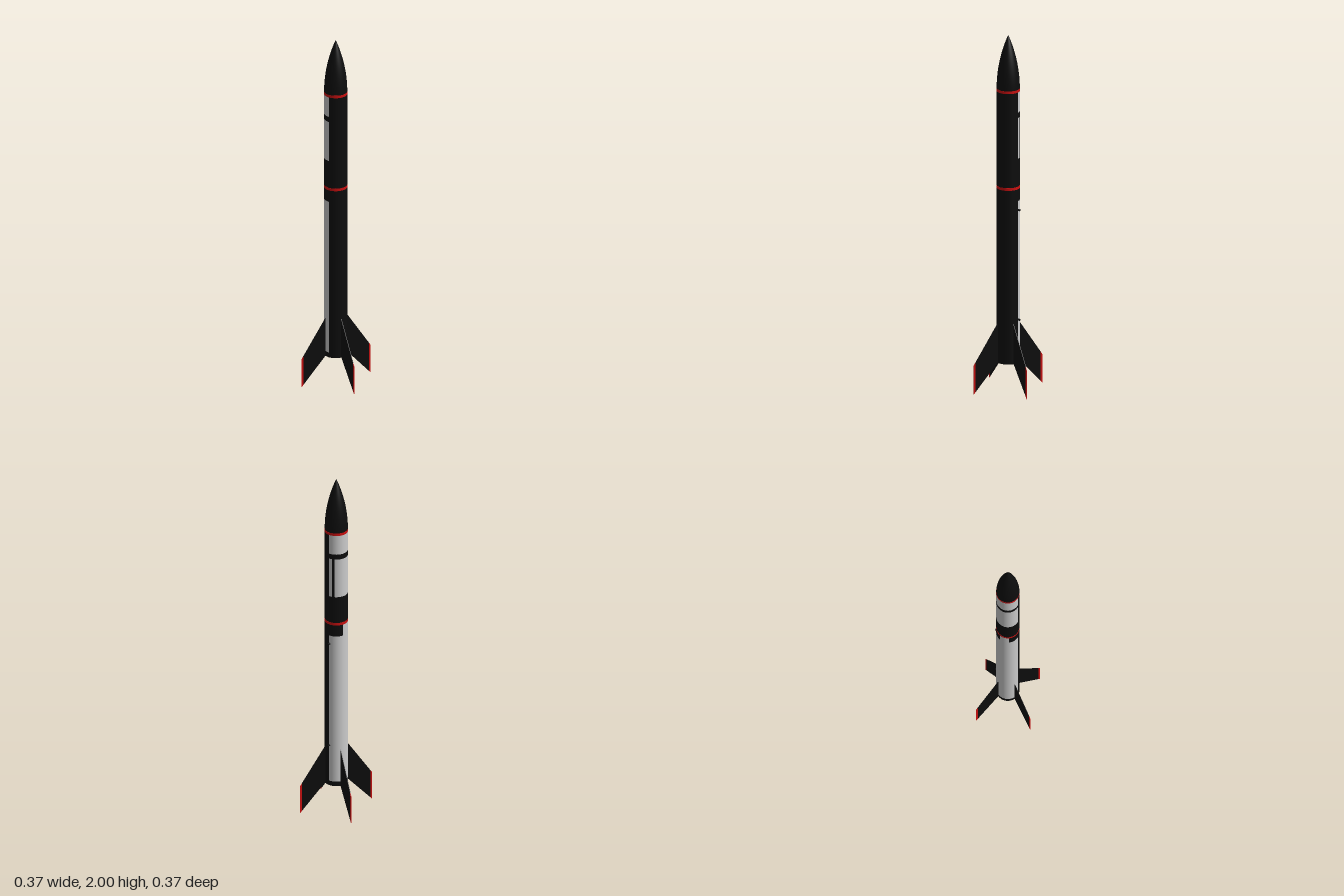
import * as THREE from 'three';

const R = 0.0625, AXIS_X = -0.002, DEG = Math.PI / 180;
const mat = (color) => new THREE.MeshStandardMaterial({ color, side: THREE.DoubleSide });

export function createModel() {
  const root = new THREE.Group();
  root.name = 'rocket';
  const black = mat(0x0d0d0d), white = mat(0xcccccc), red = mat(0xcc1010);

  const add = (parent, name, geometry, material, x = 0, y = 0, z = 0) => {
    const mesh = new THREE.Mesh(geometry, material);
    mesh.name = name;
    mesh.position.set(x, y, z);
    parent.add(mesh);
    return mesh;
  };

  const body = new THREE.Group();
  body.name = 'body';
  body.position.x = AXIS_X;
  root.add(body);

  // Curved skin panel between two heights and two angles (0 = +z, 90 = +x)
  const panel = (name, y0, y1, a0, a1, material) => {
    const segs = Math.max(3, Math.round((a1 - a0) / 5));
    const g = new THREE.CylinderGeometry(R, R, y1 - y0, segs, 1, true, a0 * DEG, (a1 - a0) * DEG);
    add(body, name, g, material, 0, (y0 + y1) / 2, 0);
  };

  // Dark left half of the tube
  panel('darkSide', 0.155, 1.695, 0, 180, black);

  // Painted right half, tiled from bottom to top
  panel('tailBand', 0.155, 0.183, 180, 360, black);
  panel('lowerWhitePanel', 0.183, 1.07, 180, 360, white);
  panel('rearDarkPatch', 1.07, 1.145, 180, 254, black);
  panel('whiteGap', 1.07, 1.145, 254, 304, white);
  panel('frontDarkPatch', 1.07, 1.145, 304, 360, black);
  panel('middleBand', 1.145, 1.31, 180, 360, black);
  panel('rearWhiteStrip', 1.31, 1.54, 180, 199, white);
  panel('darkStripe', 1.31, 1.54, 199, 211, black);
  panel('upperWhitePanel', 1.31, 1.54, 211, 360, white);
  panel('upperBand', 1.54, 1.57, 180, 360, black);
  panel('topWhitePanel', 1.57, 1.695, 180, 360, white);

  // Closed tail end
  add(body, 'tailCap', new THREE.CircleGeometry(R, 72).rotateX(Math.PI / 2), black, 0, 0.155, 0);

  // Red joint rings
  for (const [name, y] of [['lowerRing', 1.145], ['noseRing', 1.692]]) {
    add(body, name, new THREE.CylinderGeometry(R + 0.0007, R + 0.0007, 0.015, 72), red, 0, y, 0);
  }

  // Tangent ogive nose
  const L = 0.305, rho = (R * R + L * L) / (2 * R), profile = [];
  for (let i = 0; i <= 24; i++) {
    const h = (L * i) / 24;
    profile.push(new THREE.Vector2(Math.max(0, Math.sqrt(rho * rho - h * h) + R - rho), h));
  }
  add(body, 'noseCone', new THREE.LatheGeometry(profile, 72), black, 0, 1.695, 0);

  // Rail buttons on the back
  for (const y of [0.4, 1.02]) {
    const button = new THREE.Group();
    button.name = 'railButton';
    button.position.set(-0.004, y, -R);
    body.add(button);
    const disc = (name, r, depth, z) =>
      add(button, name, new THREE.CylinderGeometry(r, r, depth, 20).rotateX(Math.PI / 2), black, 0, 0, z);
    disc('buttonBase', 0.006, 0.003, -0.001);
    disc('buttonStem', 0.0035, 0.008, -0.004);
    disc('buttonHead', 0.006, 0.003, -0.0095);
  }

  // Four swept fins with red tips
  const plate = (points, depth) => {
    const shape = new THREE.Shape(points.map(([x, y]) => new THREE.Vector2(x, y)));
    return new THREE.ExtrudeGeometry(shape, { depth, bevelEnabled: false }).translate(0, 0, -depth / 2);
  };
  const inner = 0.055, tip = 0.21, edge = 0.199;
  const top = (r) => 0.38 + ((r - R) / (tip - R)) * (0.162 - 0.38);
  const low = (r) => 0.16 + ((r - R) / (tip - R)) * (0 - 0.16);
  const finShape = plate([[inner, low(inner)], [edge, low(edge)], [edge, top(edge)], [inner, top(inner)]], 0.003);
  const tipShape = plate([[edge, low(edge)], [tip, 0], [tip, top(tip)], [edge, top(edge)]], 0.003);
  for (let i = 0; i < 4; i++) {
    const fin = new THREE.Group();
    fin.name = 'fin';
    fin.rotation.y = -27.2 * DEG + (i * Math.PI) / 2;
    add(fin, 'finPlate', finShape, black);
    add(fin, 'finTip', tipShape, red);
    root.add(fin);
  }
  return root;
}
